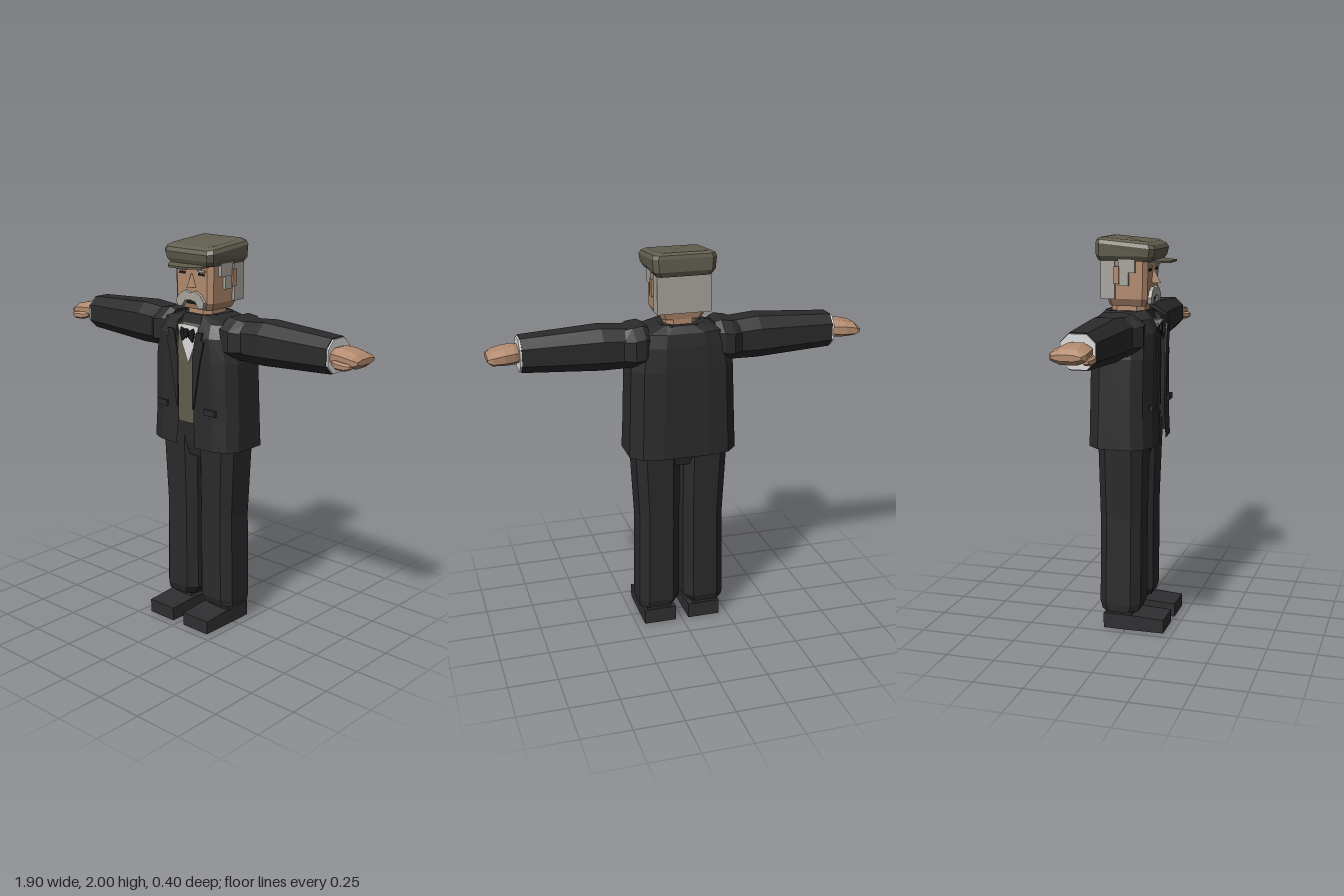
import * as THREE from 'three';

const mat = (name, color, extra = {}) => {
  const m = new THREE.MeshStandardMaterial({ color, flatShading: true, ...extra });
  m.name = name;
  return m;
};

// Chamfered eight-sided ring at height y, spanning z0..z1
function ring(y, hx, z0, z1, cx = 0, c = 0.4) {
  const k = 1 - c, cz = (z0 + z1) / 2, hz = (z1 - z0) / 2;
  return [[1, -k], [1, k], [k, 1], [-k, 1], [-1, k], [-1, -k], [-k, -1], [k, -1]]
    .map(([a, b]) => [cx + a * hx, y, cz + b * hz]);
}

// Skin between consecutive rings; closed lofts get end caps
function loft(rings, closed = true) {
  const pos = [], n = rings[0].length;
  const tri = (...p) => p.forEach(v => pos.push(...v));
  for (let r = 0; r < rings.length - 1; r++) {
    const a = rings[r], b = rings[r + 1];
    for (let i = 0; i < (closed ? n : n - 1); i++) {
      const j = (i + 1) % n;
      tri(a[i], b[i], b[j]);
      tri(a[i], b[j], a[j]);
    }
  }
  if (closed) {
    const bot = rings[0], top = rings[rings.length - 1];
    for (let i = 1; i < n - 1; i++) {
      tri(bot[0], bot[i], bot[i + 1]);
      tri(top[0], top[i + 1], top[i]);
    }
  }
  const g = new THREE.BufferGeometry();
  g.setAttribute('position', new THREE.Float32BufferAttribute(pos, 3));
  g.computeVertexNormals();
  return g;
}

// Thin plate facing +z from an outline
function plate(points, z, depth = 0.008) {
  const s = new THREE.Shape(points.map(p => new THREE.Vector2(...p)));
  return new THREE.ExtrudeGeometry(s, { depth, bevelEnabled: false }).translate(0, 0, z);
}
const mirrored = half => [...half, ...half.filter(p => p[0] > 0).reverse().map(([x, y]) => [-x, y])];

export function createModel() {
  const model = new THREE.Group();
  const cloth = mat('dark cloth', 0x2b2b2c);
  const clothOpen = mat('dark cloth open', 0x2b2b2c, { side: THREE.DoubleSide });
  const leather = mat('shoe leather', 0x2f2f31);
  const skin = mat('skin', 0xb38b6f);
  const capCloth = mat('cap cloth', 0x625f50);
  const vestCloth = mat('vest cloth', 0x615e4e);
  const hair = mat('grey hair', 0xa8a49d);
  const white = mat('white linen', 0xdcdcdc);
  const black = mat('black', 0x1a1a1c);
  const add = (name, geo, material) => {
    const m = new THREE.Mesh(geo, material);
    m.name = name;
    model.add(m);
    return m;
  };
  const box = (name, material, x0, x1, y0, y1, z0, z1) => add(name,
    new THREE.BoxGeometry(x1 - x0, y1 - y0, z1 - z0)
      .translate((x0 + x1) / 2, (y0 + y1) / 2, (z0 + z1) / 2), material);

  // Jacket: open shell, rows of [y, opening, half width, front z, back z]
  const rows = [
    [0.97, 0.062, 0.278, 0.142, -0.198], [1.12, 0.05, 0.272, 0.136, -0.195],
    [1.42, 0.048, 0.262, 0.138, -0.19], [1.54, 0.068, 0.24, 0.138, -0.182],
    [1.605, 0.075, 0.22, 0.11, -0.17], [1.64, 0.055, 0.105, 0.075, -0.14]];
  const jacketRings = rows.map(([y, e, w, f, b]) => {
    const half = [[0, b], [0.42 * w, b], [0.8 * w, b + 0.02], [w, b + 0.08], [w, f - 0.09],
      [0.87 * w, f - 0.035], [0.62 * w, f - 0.005], [e, f]];
    const left = half.map(([x, z]) => [x, y, z]);
    const right = half.slice(1).reverse().map(([x, z]) => [-x, y, z]);
    return [...right, ...left];
  });
  add('jacket', loft(jacketRings, false), clothOpen);
  add('jacketCollar', loft([ring(1.59, 0.13, -0.15, 0.085), ring(1.638, 0.105, -0.14, 0.075)]), cloth);

  // Vest, shirt front and bow tie
  add('vest', loft([ring(1.08, 0.13, -0.13, 0.105), ring(1.4, 0.13, -0.13, 0.115),
    ring(1.55, 0.13, -0.13, 0.105), ring(1.6, 0.1, -0.12, 0.08)]), vestCloth);
  add('shirtFront', plate(mirrored([[0, 1.395], [0.036, 1.48], [0.05, 1.52], [0.07, 1.585], [0.03, 1.59]]), 0.112), white);
  add('bowTie', plate(mirrored([[0, 1.535], [0.035, 1.505], [0.048, 1.55], [0.04, 1.575], [0, 1.555]]), 0.121), black);
  add('bowKnot', plate(mirrored([[0, 1.525], [0.014, 1.54], [0.012, 1.57], [0, 1.572]]), 0.129), black);

  // Trouser seat
  add('trouserSeat', loft([ring(0.9, 0.1, -0.12, 0.07), ring(0.97, 0.2, -0.14, 0.085),
    ring(1.1, 0.2, -0.14, 0.1)]), cloth);

  for (const s of [1, -1]) {
    const side = s > 0 ? 'left' : 'right';
    const span = (a, b) => s > 0 ? [a, b] : [-b, -a];

    // Lapel and pocket flap
    const lapel = [[0.05, 1.17], [0.056, 1.17], [0.1, 1.42], [0.125, 1.52], [0.105, 1.53], [0.118, 1.565],
      [0.078, 1.565], [0.068, 1.54], [0.048, 1.42]];
    add(side + 'Lapel', plate(lapel.map(([x, y]) => [s * x, y]), 0.137), cloth);
    box(side + 'PocketFlap', cloth, ...span(0.125, 0.195), 1.155, 1.185, 0.125, 0.143);

    // Sleeve, cuff, hand: rings run along the arm, [x, half height, z0, z1, centre height]
    const along = (name, material, sections, c) => {
      const m = add(side + name, loft(sections.map(([x, h, z0, z1, y]) => ring(x, h, z0, z1, -s * (y - 1.535), c))), material);
      m.rotation.z = -s * Math.PI / 2;
      m.position.y = 1.535;
    };
    along('Shoulder', cloth, [[0.17, 0.085, -0.15, 0.085, 1.545], [0.2, 0.102, -0.175, 0.105, 1.54],
      [0.25, 0.1, -0.18, 0.11, 1.535], [0.3, 0.09, -0.14, 0.07, 1.53]], 0.5);
    along('Sleeve', cloth, [[0.26, 0.098, -0.14, 0.07, 1.53], [0.4, 0.105, -0.14, 0.072, 1.535],
      [0.79, 0.084, -0.12, 0.05, 1.535]], 0.5);
    along('Cuff', white, [[0.77, 0.078, -0.115, 0.045, 1.535], [0.8, 0.08, -0.117, 0.047, 1.535]], 0.5);
    along('Hand', skin, [[0.79, 0.036, -0.095, 0.03, 1.537], [0.82, 0.044, -0.108, 0.043, 1.537],
      [0.87, 0.042, -0.12, 0.048, 1.535], [0.925, 0.034, -0.12, 0.046, 1.53],
      [0.95, 0.014, -0.105, 0.03, 1.53]], 0.55);
    along('Thumb', skin, [[0.815, 0.014, 0.01, 0.045, 1.517], [0.85, 0.02, 0.015, 0.067, 1.512],
      [0.9, 0.018, 0.02, 0.068, 1.51], [0.925, 0.01, 0.025, 0.055, 1.512]], 0.5);

    // Trouser leg and shoe
    add(side + 'TrouserLeg', loft([ring(0.1, 0.093, -0.125, 0.065, s * 0.132), ring(0.14, 0.109, -0.137, 0.078, s * 0.12),
      ring(0.6, 0.105, -0.135, 0.08, s * 0.116), ring(0.97, 0.115, -0.14, 0.09, s * 0.125),
      ring(1.05, 0.115, -0.14, 0.09, s * 0.125)]), cloth);
    add(side + 'Shoe', loft([0, 0.07].map(y => [[0.085, -0.115], [0.085, 0.04], [0.082, 0.203], [-0.082, 0.203],
      [-0.085, 0.04], [-0.085, -0.115]].map(([x, z]) => [x + s * 0.12, y + (y && z < 0.1 ? 0.01 : 0), z]))), leather);
    box(side + 'ShoeAnkle', leather, ...span(0.062, 0.19), 0.07, 0.115, -0.11, 0.035);

    // Side hair, ear, brow, eye
    box(side + 'SideHair', hair, ...span(0.1, 0.143), 1.83, 1.9, -0.05, 0.035);
    box(side + 'Sideburn', hair, ...span(0.1, 0.138), 1.765, 1.83, -0.055, 0);
    box(side + 'Ear', skin, ...span(0.1, 0.147), 1.775, 1.86, -0.075, -0.045);
    box(side + 'Brow', hair, ...span(0.04, 0.09), 1.852, 1.862, 0.085, 0.097);
    box(side + 'Eye', black, ...span(0.043, 0.083), 1.834, 1.846, 0.085, 0.094);
  }

  // Neck and head
  add('neck', loft([ring(1.58, 0.078, -0.11, 0.06), ring(1.68, 0.078, -0.11, 0.06)]), skin);
  add('head', loft([ring(1.663, 0.1, -0.11, 0.075, 0, 0.2), ring(1.7, 0.122, -0.118, 0.088, 0, 0.2),
    ring(1.9, 0.125, -0.118, 0.09, 0, 0.2)]), skin);
  box('backHair', hair, -0.136, 0.136, 1.7, 1.9, -0.142, -0.07);
  add('nose', loft([[[0.03, 1.773, 0.08], [0, 1.773, 0.13], [-0.03, 1.773, 0.08]],
    [[0.006, 1.84, 0.08], [0, 1.84, 0.094], [-0.006, 1.84, 0.08]]]), skin);
  add('mouth', plate(mirrored([[0, 1.69], [0.03, 1.69], [0.03, 1.705], [0, 1.71]]), 0.086), black);
  add('moustache', plate(mirrored([[0, 1.712], [0.035, 1.705], [0.055, 1.675], [0.085, 1.675],
    [0.092, 1.705], [0.068, 1.738], [0.03, 1.757], [0, 1.745]]), 0.084, 0.022), hair);

  // Flat cap: crown slopes down to the front
  const slope = r => r.map(([x, y, z]) => [x, y - 0.2 * Math.max(0, z + 0.01), z]);
  add('capCrown', loft([ring(1.885, 0.137, -0.155, 0.115, 0, 0.15), ring(1.91, 0.154, -0.167, 0.128, 0, 0.15),
    slope(ring(1.972, 0.16, -0.167, 0.135, 0, 0.15)), slope(ring(1.99, 0.152, -0.163, 0.125, 0, 0.15)),
    slope(ring(2, 0.13, -0.15, 0.1, 0, 0.15))]), capCloth);
  const brim = [[0.115, 0.08], [0.108, 0.14], [0.06, 0.195], [-0.06, 0.195], [-0.108, 0.14], [-0.115, 0.08]];
  add('capBrim', loft([0, 0.01].map(t => brim.map(([x, z]) =>
    [x, 1.893 + t - 0.12 * (z - 0.08) - 0.8 * x * x, z]))), capCloth);

  return model;
}
